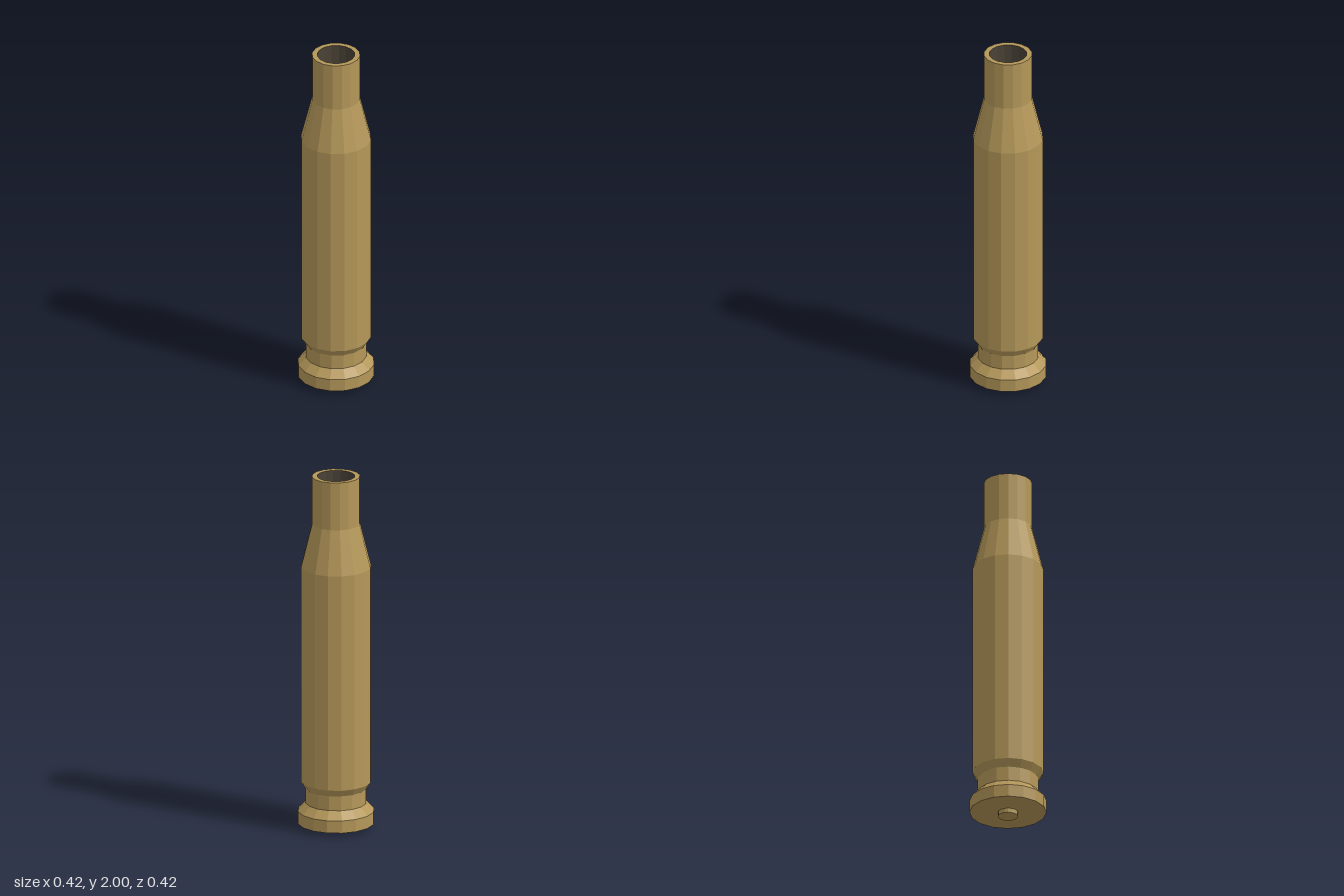
import * as THREE from 'three';

const SIDES = 16;

// Revolve a profile of [radius, height] pairs; outer faces run upwards.
function turned(name, profile, color) {
  const points = profile.map(([r, y]) => new THREE.Vector2(r, y));
  const geometry = new THREE.LatheGeometry(points, SIDES);
  const material = new THREE.MeshStandardMaterial({ color, flatShading: true });
  const mesh = new THREE.Mesh(geometry, material);
  mesh.name = name;
  return mesh;
}

export function createModel() {
  const group = new THREE.Group();
  group.name = 'cartridgeCase';
  const brass = 0xb5985a;
  const dark = 0x4a4237;

  // Base rim, extractor groove, body, shoulder, neck and mouth lip
  group.add(turned('caseBody', [
    [0, 0.025], [0.21, 0.025], [0.21, 0.095],
    [0.167, 0.14], [0.167, 0.222], [0.193, 0.262],
    [0.193, 1.485], [0.132, 1.73], [0.132, 2], [0.103, 2],
  ], brass));

  // Dark hollow inside, from the mouth down to the floor
  group.add(turned('bore', [[0.103, 2], [0.103, 0.3], [0, 0.3]], dark));

  // Small primer standing proud of the base
  group.add(turned('primer', [[0, 0], [0.055, 0], [0.055, 0.026]], brass));

  return group;
}
